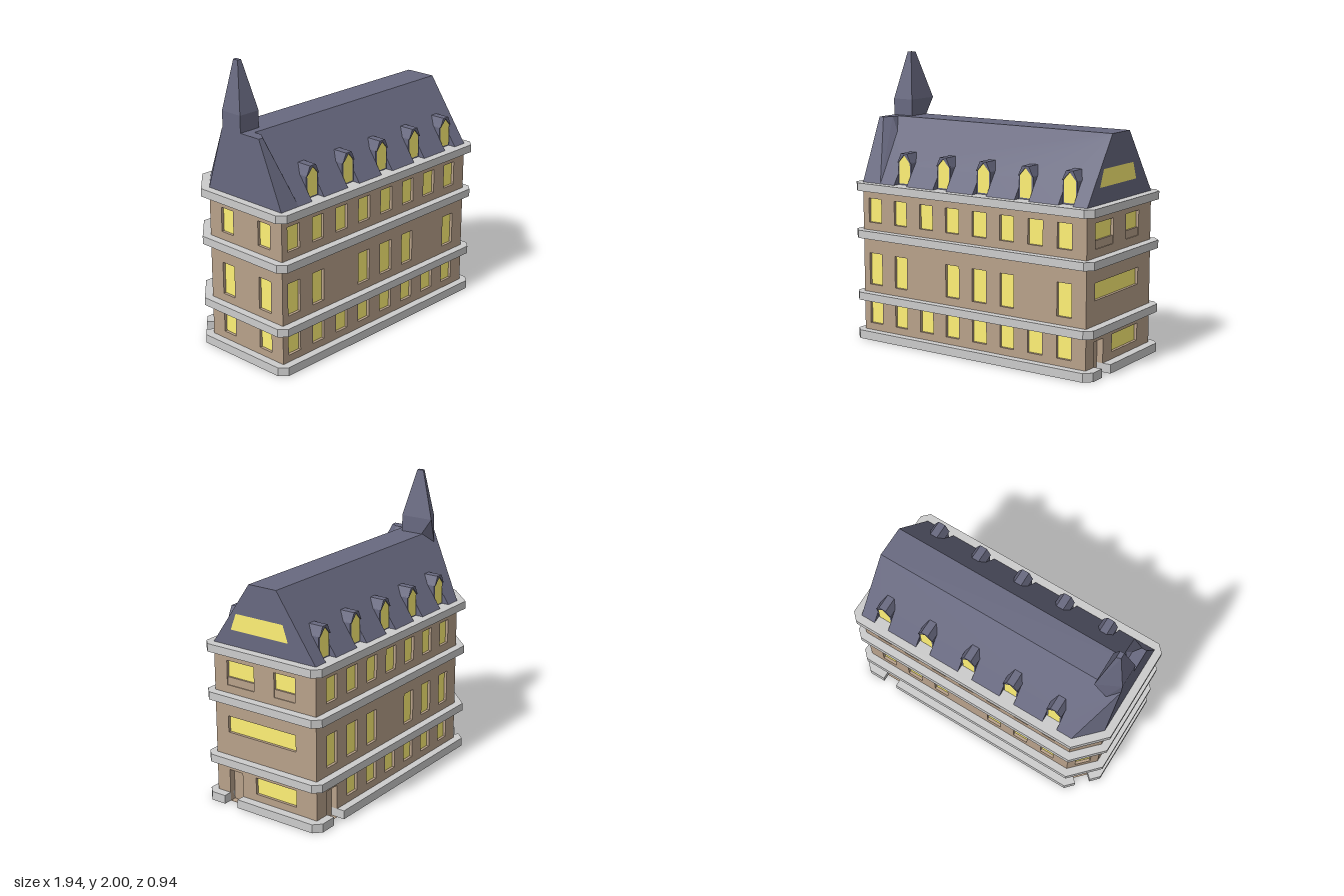
import * as THREE from 'three';
import { ConvexGeometry } from 'three/addons/geometries/ConvexGeometry.js';

const mat = (color) => new THREE.MeshStandardMaterial({ color, flatShading: true, side: THREE.DoubleSide });
const STONE = mat(0xcccccc), BRICK = mat(0xb8a18a), GLASS = mat(0xfff176), SLATE = mat(0x686980);

const EAVE = 1.115, RIDGE = 1.555, HALF = 0.415, TOP = 0.11;
const X0 = -0.915, X1 = 0.91;

function add(parent, name, geometry, material) {
  const mesh = new THREE.Mesh(geometry, material);
  mesh.name = name;
  parent.add(mesh);
  return mesh;
}
const shapeOf = (pts) => new THREE.Shape(pts.map(([x, y]) => new THREE.Vector2(x, y)));
const hull = (pts) => new ConvexGeometry(pts.map((p) => new THREE.Vector3(...p)));
const rectPts = (a, b, c, d) => [[a, c], [b, c], [b, d], [a, d]];

// Horizontal slab from an outline of [x, z] points
function slab(outline, y0, y1) {
  const g = new THREE.ExtrudeGeometry(shapeOf(outline.map(([x, z]) => [x, -z])), { depth: y1 - y0, bevelEnabled: false });
  return g.rotateX(-Math.PI / 2).translate(0, y0, 0);
}

// Wall from p0 to p1 (left to right seen from outside) with recessed openings
function wall(name, p0, p1, openings) {
  const group = new THREE.Group();
  group.name = name;
  const dx = p1[0] - p0[0], dz = p1[1] - p0[1];
  group.position.set(p0[0], 0, p0[1]);
  group.rotation.y = Math.atan2(-dz, dx);
  const shape = shapeOf(rectPts(0, Math.hypot(dx, dz), 0, 1.08));
  for (const { u: [a, b], y: [c, d], door, sill } of openings) {
    shape.holes.push(new THREE.Path(rectPts(a, b, c, d).map((p) => new THREE.Vector2(...p))));
    const pane = add(group, door ? 'door' : 'window', new THREE.ShapeGeometry(shapeOf(rectPts(a, b, c, d))), door ? BRICK : GLASS);
    pane.position.z = door ? -0.045 : -0.02;
    if (sill) {
      const s = add(group, 'windowApron', new THREE.BoxGeometry(b - a, 0.055, 0.015), BRICK);
      s.position.set((a + b) / 2, c + 0.0275, -0.014);
    }
  }
  const g = new THREE.ExtrudeGeometry(shape, { depth: 0.05, bevelEnabled: false });
  add(group, 'wallPanel', g.translate(0, 0, -0.05), BRICK);
  return group;
}

const BAYS = [[-0.88, -0.755], [-0.64, -0.535], [-0.42, -0.31], [-0.2, -0.09], [0.02, 0.135], [0.245, 0.355], [0.465, 0.58], [0.69, 0.8]];
const LOW = [0.11, 0.278], MID = [0.39, 0.615], HIGH = [0.835, 1.005], DOOR = [0.001, 0.228];
const DORMERS = [-0.585, -0.25, 0.08, 0.415, 0.75];

function buildWalls(root) {
  const row = (ids, y, map) => ids.map((i) => ({ u: BAYS[i].map(map).sort((a, b) => a - b), y }));
  const f = (x) => x - X0, b = (x) => X1 - x;
  root.add(wall('frontWall', [X0, HALF], [X1, HALF], [
    ...row([0, 1, 2, 3, 4, 5, 6, 7], LOW, f), ...row([0, 1, 3, 4, 5, 7], MID, f), ...row([0, 1, 2, 3, 4, 5, 6, 7], HIGH, f)]));
  root.add(wall('backWall', [X1, -HALF], [-0.755, -HALF], [
    ...row([1, 2, 3, 4, 5, 6], LOW, b), ...row([1, 2, 3, 5, 6, 7], MID, b), ...row([1, 2, 3, 4, 5, 6, 7], HIGH, b),
    { u: [0.11, 0.22], y: DOOR, door: true }]));
  root.add(wall('rightEndWall', [X1, HALF], [X1, -HALF], [
    { u: [0.105, 0.215], y: DOOR, door: true }, { u: [0.33, 0.665], y: [0.11, 0.228] },
    { u: [0.105, 0.665], y: [0.5, 0.615] },
    { u: [0.105, 0.33], y: HIGH, sill: true }, { u: [0.495, 0.665], y: HIGH, sill: true }]));
  root.add(wall('cornerWall', [-0.755, -HALF], [X0, -0.25], [
    { u: [0.06, 0.17], y: DOOR, door: true }, { u: [0.06, 0.17], y: MID }]));
  const ends = [[0.11, 0.22], [0.45, 0.56]];
  root.add(wall('leftEndWall', [X0, -0.25], [X0, HALF], [LOW, MID, HIGH].flatMap((y) => ends.map((u) => ({ u, y })))));
}

function buildBands(root) {
  const front = [[-0.97, 0.42], [-0.92, 0.47], [0.92, 0.47], [0.97, 0.42]];
  const back = [[0.97, -0.42], [0.92, -0.47]];
  const corner = [[-0.78, -0.47], [-0.97, -0.27]];
  const outline = [...front, ...back, ...corner];
  // The base band is interrupted at each of the three doors
  const base = [...front,
    [0.97, 0.31], [0.862, 0.31], [0.862, 0.2], [0.97, 0.2],
    ...back, [0.8, -0.47], [0.8, -0.367], [0.69, -0.367], [0.69, -0.47],
    corner[0], [-0.837, -0.41], [-0.761, -0.337], [-0.837, -0.258], [-0.913, -0.33], corner[1]];
  add(root, 'baseBand', slab(base, 0, 0.06), STONE);
  for (const [a, b] of [[0.28, 0.335], [0.725, 0.78], [1.06, EAVE]]) add(root, 'stoneBand', slab(outline, a, b), STONE);
}

// Roof slope with a notch in front of each dormer; side is +1 front, -1 back
function slope(side, xBottom, xTop) {
  const cut = 0.3;
  const pts = [[xBottom, 0]];
  for (const c of DORMERS) pts.push([c - 0.055, 0], [c - 0.055, cut], [c + 0.055, cut], [c + 0.055, 0]);
  pts.push([X1, 0], [X1, 1], [xTop, 1]);
  const g = new THREE.ShapeGeometry(shapeOf(pts));
  const p = g.attributes.position;
  for (let i = 0; i < p.count; i++) {
    const t = p.getY(i);
    p.setXYZ(i, p.getX(i), EAVE + (RIDGE - EAVE) * t, side * (HALF - (HALF - TOP) * t));
  }
  if (side < 0) g.index.array.reverse();
  g.computeVertexNormals();
  return g;
}

function dormer(x, side) {
  const g = new THREE.Group();
  g.name = 'dormer';
  const body = shapeOf([[-0.055, EAVE], [0.055, EAVE], [0.055, 1.275], [0.025, 1.335], [-0.025, 1.335], [-0.055, 1.275]]);
  add(g, 'dormerBody', new THREE.ExtrudeGeometry(body, { depth: 0.12, bevelEnabled: false }).translate(0, 0, 0.24), SLATE);
  const pane = shapeOf([[-0.045, 1.125], [0.045, 1.125], [0.045, 1.275], [0.01, 1.32], [-0.01, 1.32], [-0.045, 1.275]]);
  add(g, 'dormerWindow', new THREE.ShapeGeometry(pane).translate(0, 0, 0.363), GLASS);
  // Cheeks closing the notch, and a small projecting hood
  for (const s of [-1, 1]) {
    const cheek = new THREE.ShapeGeometry(shapeOf([[-HALF, EAVE], [-0.36, EAVE], [-0.36, 1.194]]));
    add(g, 'dormerCheek', cheek.rotateY(Math.PI / 2).translate(s * 0.055, 0, 0), SLATE);
    add(g, 'dormerHood', hull([0.25, 0.37].flatMap((z) => [
      [s * 0.057, 1.27, z], [s * 0.05, 1.27, z], [s * 0.026, 1.335, z], [0, 1.335, z], [0, 1.325, z], [s * 0.016, 1.325, z]])), SLATE);
  }
  g.position.x = x;
  g.rotation.y = side > 0 ? 0 : Math.PI;
  return g;
}

function buildRoof(root) {
  add(root, 'frontSlope', slope(1, X0, X0), SLATE);
  add(root, 'backSlope', slope(-1, -0.755, X0), SLATE);
  add(root, 'roofTop', slab([[X0, TOP], [X1, TOP], [X1, -TOP], [X0, -TOP]], RIDGE - 0.01, RIDGE), SLATE);
  const corner = new THREE.BufferGeometry().setFromPoints([
    new THREE.Vector3(-0.755, EAVE, -HALF), new THREE.Vector3(X0, EAVE, -0.25), new THREE.Vector3(X0, RIDGE, -TOP)]);
  corner.computeVertexNormals();
  add(root, 'cornerSlope', corner, SLATE);
  // Gable ends, drawn as [-z, y]
  const gable = (z0, z1, x) => new THREE.ShapeGeometry(shapeOf([[-HALF, EAVE], [z0, EAVE], [z1, RIDGE], [-TOP, RIDGE]]))
    .rotateY(Math.PI / 2).translate(x, 0, 0);
  add(root, 'rightGable', gable(HALF, TOP, X1), SLATE);
  const left = gable(0.25, TOP, X0);
  left.index.array.reverse();
  left.attributes.normal.array.forEach((v, i, a) => { a[i] = -v; });
  add(root, 'leftGable', left, SLATE);
  const attic = new THREE.ShapeGeometry(shapeOf([[-0.265, 1.225], [0.2, 1.225], [0.16, 1.34], [-0.22, 1.34]]));
  add(root, 'atticWindow', attic.rotateY(Math.PI / 2).translate(X1 + 0.003, 0, 0), GLASS);
  // Steeper shoulder at the front left corner
  add(root, 'roofShoulder', hull([
    [X0, EAVE, HALF], [X0, RIDGE, 0.225], [X0, RIDGE, 0], [X0, EAVE, 0],
    [-0.88, RIDGE, 0.225], [-0.84, RIDGE, 0.17], [-0.84, RIDGE, 0.11], [-0.79, 1.45, 0.18], [-0.76, EAVE, HALF]]), SLATE);
  for (const x of DORMERS) for (const side of [1, -1]) {
    root.add(dormer(x, side));
  }
}

function buildSpire(root) {
  const collar = [[X0, 1.67, 0.06], [-0.755, 1.67, 0.06], [-0.755, 1.67, -0.185], [X0, 1.67, -0.105]];
  add(root, 'spireShaft', hull([...collar,
    [X0, 1.49, 0.06], [-0.755, 1.49, 0.06], [-0.755, RIDGE, -0.105], [X0, 1.49, -0.105], [-0.84, 1.49, -0.16]]), SLATE);
  add(root, 'spire', hull([...collar,
    [-0.85, 2, -0.02], [-0.82, 2, -0.02], [-0.82, 2, -0.07], [-0.85, 2, -0.06]]), SLATE);
}

export function createModel() {
  const root = new THREE.Group();
  root.name = 'building';
  buildBands(root);
  buildWalls(root);
  buildRoof(root);
  buildSpire(root);
  return root;
}
